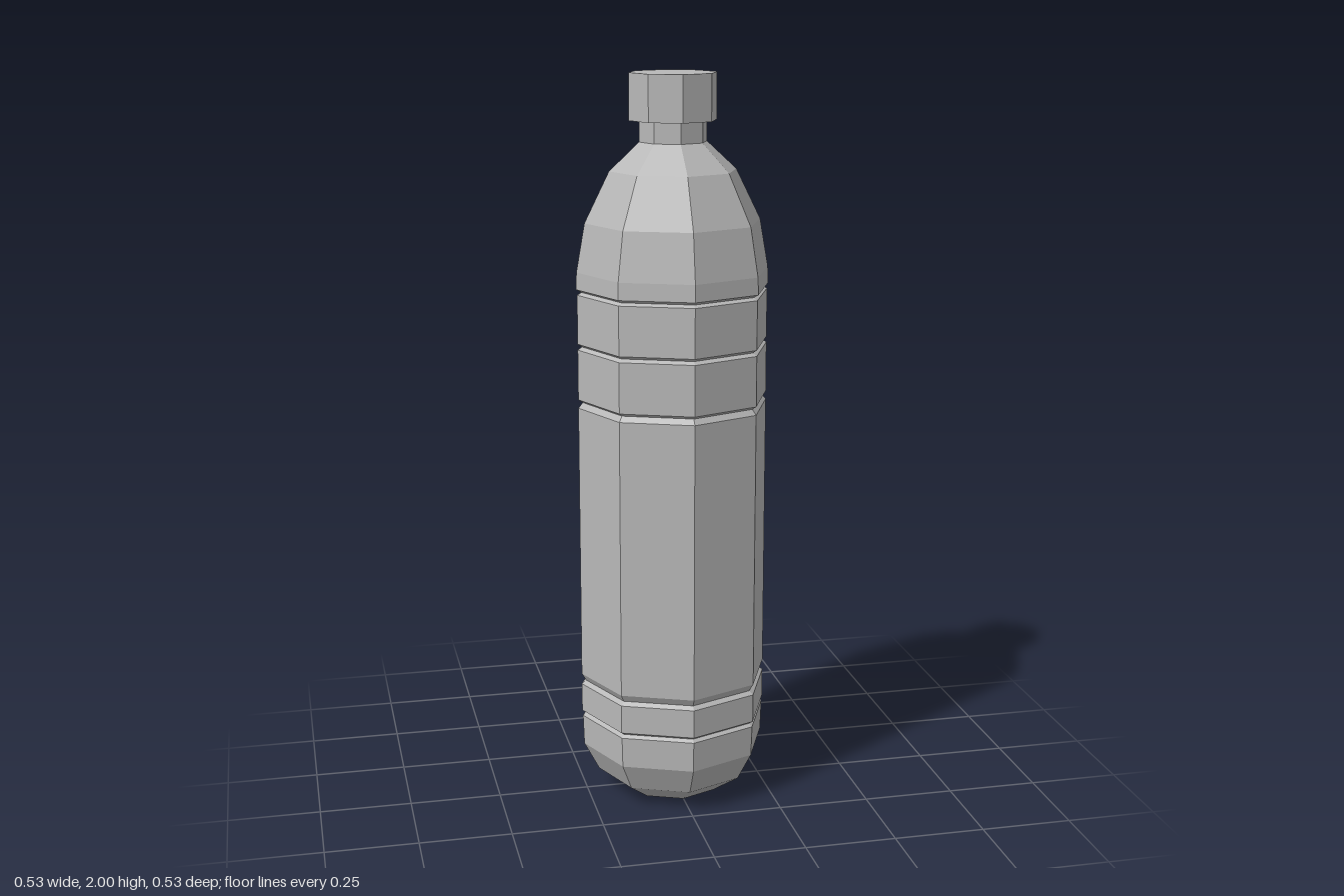
import * as THREE from 'three';

const SIDES = 8;

export function createModel() {
  const bottle = new THREE.Group();
  bottle.name = 'bottle';
  const grey = new THREE.MeshStandardMaterial({ color: 0xb8b8b8 });
  grey.name = 'grey plastic';

  // Faceted eight-sided ring from a [radius, height] profile, listed bottom to top
  const addPart = (name, profile) => {
    const points = profile.map(([r, y]) => new THREE.Vector2(r, y));
    const geometry = new THREE.LatheGeometry(points, SIDES).toNonIndexed();
    geometry.computeVertexNormals();
    const mesh = new THREE.Mesh(geometry, grey);
    mesh.name = name;
    bottle.add(mesh);
  };

  const R = 0.262;      // outer radius of the body
  const GROOVE = 0.25;  // radius at the bottom of each groove

  // Rounded base
  addPart('base', [
    [0, 0], [0.135, 0], [0.215, 0.055], [0.257, 0.135], [0.26, 0.22], [GROOVE, 0.228],
  ]);

  // Straight sections between the grooves: [name, lower groove, bottom edge, top edge, upper groove]
  const sections = [
    ['lowerBand', 0.228, 0.236, 0.315, 0.325],
    ['body', 0.325, 0.345, 1.11, 1.125],
    ['middleBand', 1.125, 1.133, 1.27, 1.278],
    ['upperBand', 1.278, 1.286, 1.419, 1.426],
  ];
  for (const [name, low, bottom, top, high] of sections) {
    addPart(name, [[GROOVE, low], [R, bottom], [R, top], [GROOVE, high]]);
  }

  // Tapering shoulder
  addPart('shoulder', [
    [GROOVE, 1.426], [0.265, 1.434], [0.263, 1.48], [0.24, 1.61], [0.173, 1.745], [0.092, 1.82],
  ]);

  // Neck and screw cap
  addPart('neck', [[0.092, 1.82], [0.092, 1.876]]);
  addPart('cap', [[0, 1.876], [0.119, 1.876], [0.119, 2], [0, 2]]);

  return bottle;
}
